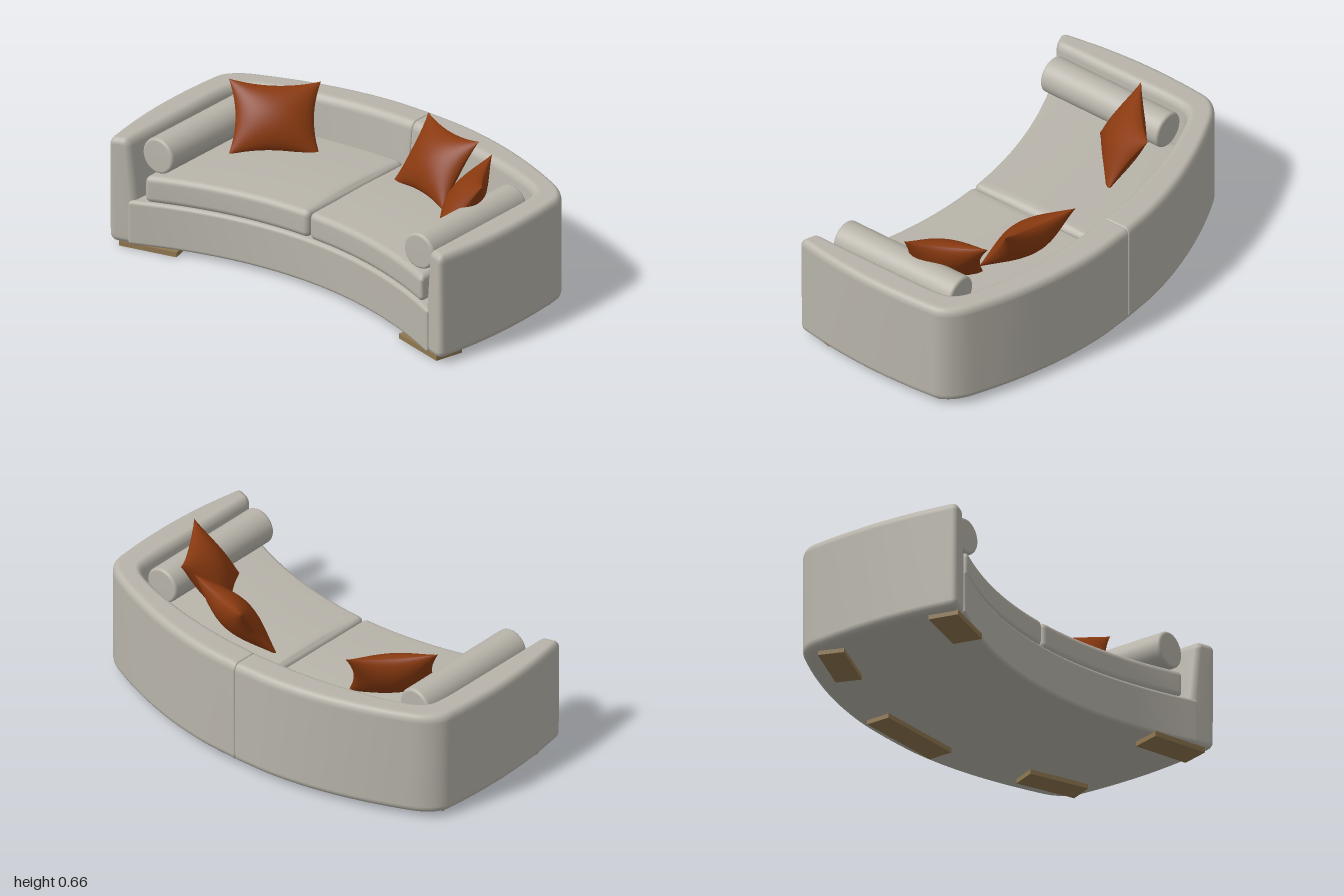
import * as THREE from 'three';

const fabric = new THREE.MeshStandardMaterial({ color: 0xb8b4aa });
fabric.name = 'warm grey fabric';
const rust = new THREE.MeshStandardMaterial({ color: 0x8a3a10 });
rust.name = 'rust fabric';
const wood = new THREE.MeshStandardMaterial({ color: 0x8f7750 });
wood.name = 'brown wood';

const V = (x, y, z) => new THREE.Vector3(x, y, z);

// Rounded rectangle as a closed list of [a, b], with an optional crown on the top edge.
function roundedProfile(w, y0, y1, r, inset, crown) {
  const rr = Math.max(r - inset, 0.002), n = 5, pts = [];
  const a0 = inset + rr, a1 = w - inset - rr, b0 = y0 + inset + rr, b1 = y1 - inset - rr;
  [[a1, b0, -0.5], [a1, b1, 0], [a0, b1, 0.5], [a0, b0, 1]].forEach(([a, b, start], c) => {
    for (let k = 0; k <= n; k++) {
      const t = (start + 0.5 * k / n) * Math.PI;
      pts.push([a + rr * Math.cos(t), b + rr * Math.sin(t)]);
    }
    if (c === 1) {
      for (let k = 1; k < 8; k++) {
        pts.push([a1 + (a0 - a1) * k / 8, b1 + rr + crown * Math.sin(Math.PI * k / 8)]);
      }
    }
  });
  return pts;
}

// Skin closed rings, cap both ends, and make the faces point outwards.
function loft(rings) {
  const n = rings[0].length, pts = rings.flat(), index = [];
  for (let i = 0; i < rings.length - 1; i++) {
    for (let j = 0; j < n; j++) {
      const a = i * n + j, b = i * n + (j + 1) % n;
      index.push(a, b, a + n, b, b + n, a + n);
    }
  }
  [0, rings.length - 1].forEach((r) => {
    const mid = rings[r].reduce((s, p) => s.add(p), V(0, 0, 0)).divideScalar(n);
    const c = pts.push(mid) - 1;
    for (let j = 0; j < n; j++) {
      const a = r * n + j, b = r * n + (j + 1) % n;
      if (r) index.push(a, b, c); else index.push(b, a, c);
    }
  });
  let volume = 0;
  for (let i = 0; i < index.length; i += 3) {
    volume += pts[index[i]].dot(pts[index[i + 1]].clone().cross(pts[index[i + 2]]));
  }
  if (volume < 0) index.reverse();
  const geo = new THREE.BufferGeometry().setFromPoints(pts);
  geo.setIndex(index);
  geo.computeVertexNormals();
  return geo;
}

// Soft block swept along a pair of edge curves: path(s) gives [outer, inner].
function softBlock(path, { length, y0, y1, r, startR, endR, lean = 0, crown = 0, steps = 48 }) {
  const stations = [], q = 5;
  for (let k = q; k >= 0; k--) {
    const t = k / q * Math.PI / 2;
    stations.push([startR / length * (1 - Math.sin(Math.PI / 2 - t)), startR * (1 - Math.cos(Math.PI / 2 - t))]);
  }
  // the first set runs from the body to the tip, so order it from the tip
  stations.forEach((s, k) => {
    const t = k / q * Math.PI / 2;
    s[0] = startR / length * (1 - Math.cos(t));
    s[1] = startR * (1 - Math.sin(t));
  });
  const sa = startR / length, sb = 1 - endR / length;
  for (let k = 1; k < steps; k++) stations.push([sa + (sb - sa) * k / steps, 0]);
  for (let k = 0; k <= q; k++) {
    const t = k / q * Math.PI / 2;
    stations.push([1 - endR / length * (1 - Math.sin(t)), endR * (1 - Math.cos(t))]);
  }
  return loft(stations.map(([s, inset]) => {
    const [o, i] = path(s);
    const dir = i.clone().sub(o), w = dir.length();
    dir.divideScalar(w);
    return roundedProfile(w, y0, y1, r, inset, inset ? 0 : crown).map(([a, b]) => {
      const shift = lean * (a / w) * Math.max(0, b - 0.2);
      return o.clone().addScaledVector(dir, a - shift).setY(b);
    });
  }));
}

// Square pillow with pinched sides and pointed corners, from half-edge vectors.
function pillowGeometry(u, v, depth) {
  const n = 20, nrm = u.clone().cross(v).normalize(), pts = [], index = [];
  [1, -1].forEach((side) => {
    const base = pts.length;
    for (let i = 0; i <= n; i++) {
      for (let j = 0; j <= n; j++) {
        const a = -Math.cos(Math.PI * i / n), b = -Math.cos(Math.PI * j / n);
        const puff = Math.pow(Math.max(0, (1 - a * a) * (1 - b * b)), 0.6);
        pts.push(V(0, 0, 0)
          .addScaledVector(u, a * (1 - 0.15 * (1 - b * b)))
          .addScaledVector(v, b * (1 - 0.15 * (1 - a * a)))
          .addScaledVector(nrm, side * depth * puff));
        if (i < n && j < n) {
          const p = base + i * (n + 1) + j, q = p + n + 1;
          if (side > 0) index.push(p, q, p + 1, q, q + 1, p + 1);
          else index.push(p, p + 1, q, q, p + 1, q + 1);
        }
      }
    }
  });
  const geo = new THREE.BufferGeometry().setFromPoints(pts);
  geo.setIndex(index);
  geo.computeVertexNormals();
  return geo;
}

export function createModel() {
  const model = new THREE.Group();
  model.name = 'curvedSofa';
  const add = (name, geo, mat, pos = [0, 0, 0]) => {
    const mesh = new THREE.Mesh(geo, mat);
    mesh.name = name;
    mesh.position.set(...pos);
    model.add(mesh);
    return mesh;
  };

  // Plan curves of the back and arm, from the centre seam to the arm front
  const outer = [[0, -0.56], [0.2, -0.552], [0.4, -0.52], [0.6, -0.465], [0.8, -0.388], [0.92, -0.325],
    [0.975, -0.26], [0.99, -0.17], [1, 0.1], [0.985, 0.33], [0.95, 0.555]];
  const inner = [[0, -0.36], [0.18, -0.353], [0.36, -0.332], [0.54, -0.296], [0.69, -0.255], [0.77, -0.225],
    [0.8, -0.195], [0.81, -0.14], [0.812, 0.1], [0.812, 0.32], [0.815, 0.505]];
  const curve = (list, m) => new THREE.CatmullRomCurve3(list.map(([x, z]) => V(m * x, 0, z)));
  const front = (x) => 0.325 + 0.285 * x * x;

  // Base under the seat
  add('seatBase', softBlock((s) => {
    const x = -0.86 + 1.72 * s;
    return [V(x, 0, -0.45 + 0.2 * x * x), V(x, 0, front(x))];
  }, { length: 1.72, y0: 0.022, y1: 0.238, r: 0.018, startR: 0.018, endR: 0.018 }), fabric);

  [1, -1].forEach((m) => {
    const side = m > 0 ? 'left' : 'right';

    // Back and arm in one sweep
    const o = curve(outer, m), i = curve(inner, m);
    add(side + 'BackAndArm', softBlock((s) => [o.getPoint(s), i.getPoint(s)],
      { length: 2.1, y0: 0.02, y1: 0.533, r: 0.038, startR: 0.01, endR: 0.03, lean: 0.16, steps: 60 }), fabric);

    // Seat cushion
    add(side + 'SeatCushion', softBlock((s) => {
      const x = 0.004 + 0.79 * s;
      return [V(m * x, 0, -0.36 + 0.2 * x * x), V(m * x, 0, front(x) - 0.008)];
    }, { length: 0.79, y0: 0.234, y1: 0.366, r: 0.03, startR: 0.025, endR: 0.025, crown: 0.01, steps: 24 }), fabric);

    // Bolster lying against the arm
    const R = 0.085, h = 0.33, e = 0.014, prof = [new THREE.Vector2(0, -h)];
    for (let k = 0; k <= 4; k++) {
      const t = k / 4 * Math.PI / 2;
      prof.push(new THREE.Vector2(R - e + e * Math.sin(t), -h + e - e * Math.cos(t)));
    }
    prof.push(...prof.slice().reverse().map((p) => new THREE.Vector2(p.x, -p.y)));
    const bolster = add(side + 'Bolster', new THREE.LatheGeometry(prof, 40), fabric, [m * 0.748, 0.461, 0.128]);
    bolster.rotation.x = Math.PI / 2 - 0.01;

    // Low feet at the arm front and back corner
    add(side + 'FrontFoot', new THREE.BoxGeometry(0.28, 0.024, 0.14), wood,
      [m * 0.79, 0.012, 0.425]).rotation.y = -m * 0.25;
    add(side + 'CornerFoot', new THREE.BoxGeometry(0.3, 0.024, 0.12), wood,
      [m * 0.78, 0.012, -0.225]).rotation.y = -m * 0.38;
  });
  add('centreFoot', new THREE.BoxGeometry(0.46, 0.024, 0.12), wood, [0, 0.012, -0.43]);

  // Loose pillows: centre, half-width vector, half-height vector
  [
    ['rightPillow', [-0.54, 0.502, -0.11], V(0.152, -0.012, -0.137), V(-0.058, 0.142, -0.072)],
    ['middlePillow', [0.295, 0.507, -0.217], V(0.188, 0.006, 0.052), V(0.024, 0.142, -0.096)],
    ['leftPillow', [0.627, 0.5, -0.01], V(0.1, 0.01, 0.158), V(0.076, 0.145, -0.068)],
  ].forEach(([name, pos, u, v]) => add(name, pillowGeometry(u, v, 0.075), rust, pos));

  return model;
}
